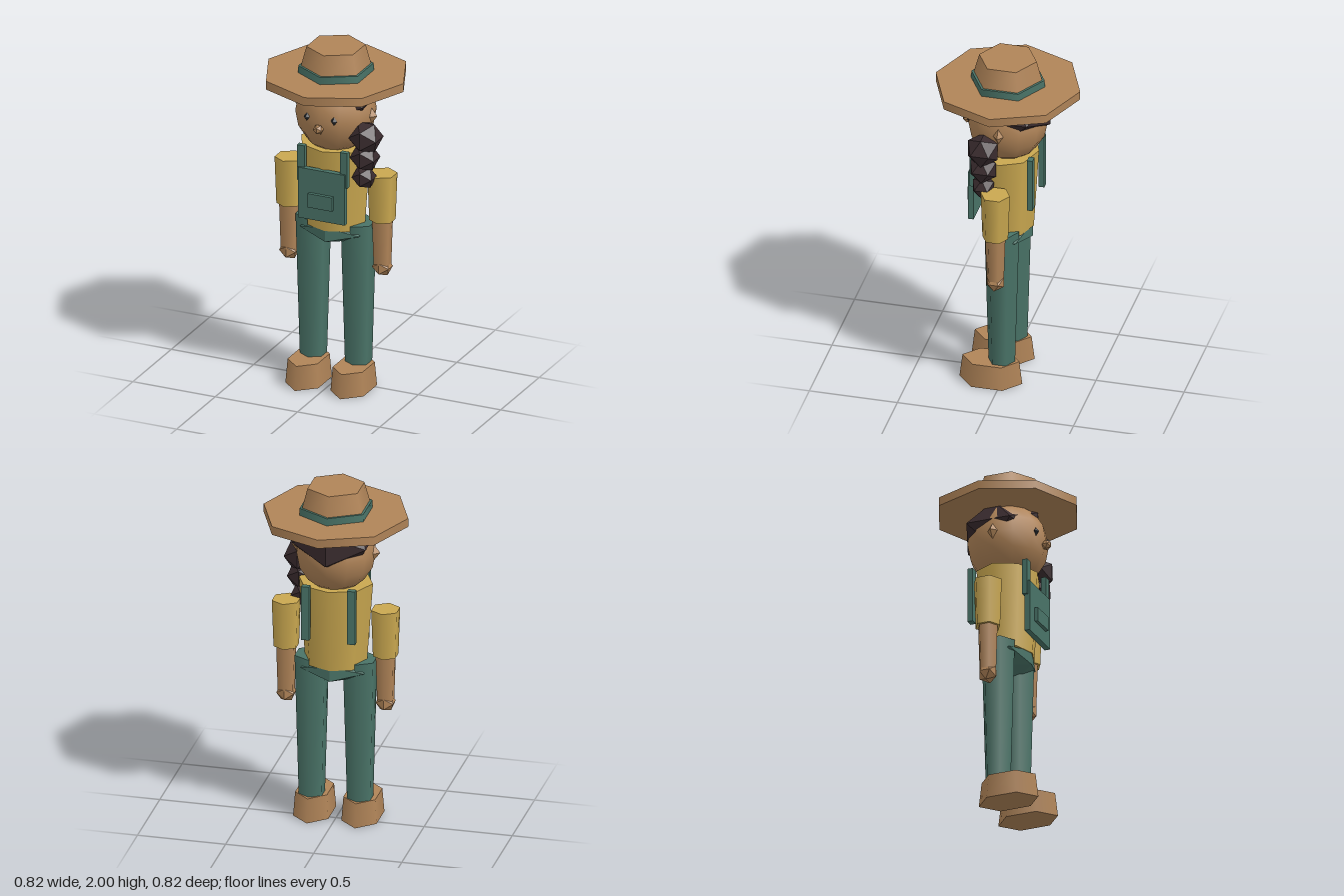
import * as THREE from 'three';

const mat = (name, color) => {
  const m = new THREE.MeshStandardMaterial({ color });
  m.name = name;
  return m;
};

export function createModel() {
  const tan = mat('tan', 0xb08458);
  const green = mat('denim green', 0x4a7468);
  const yellow = mat('shirt yellow', 0xcaa850);
  const dark = mat('hair brown', 0x392b2e);
  const black = mat('eye black', 0x22262c);

  const model = new THREE.Group();
  model.name = 'farmer';

  const add = (name, geo, material, pos, scale = [1, 1, 1]) => {
    const mesh = new THREE.Mesh(geo, material);
    mesh.name = name;
    mesh.position.set(...pos);
    mesh.scale.set(...scale);
    model.add(mesh);
    return mesh;
  };
  // Tapered prism between two heights
  const prism = (name, material, rTop, rBottom, y0, y1, sides, x = 0, z = 0, sx = 1, sz = 1) =>
    add(name, new THREE.CylinderGeometry(rTop, rBottom, y1 - y0, sides), material,
      [x, (y0 + y1) / 2, z], [sx, 1, sz]);
  // Box from its extents around a centre
  const box = (name, material, w, h, d, pos) =>
    add(name, new THREE.BoxGeometry(w, h, d), material, pos);
  // Faceted lump
  const lump = (name, material, pos, scale) =>
    add(name, new THREE.IcosahedronGeometry(1, 0), material, pos, scale);
  const gem = (name, material, pos, scale) =>
    add(name, new THREE.OctahedronGeometry(1, 0), material, pos, scale);

  // Hat
  prism('hatBrim', tan, 0.41, 0.41, 1.795, 1.845, 8);
  prism('hatCrown', tan, 0.163, 0.205, 1.845, 2.0, 6);
  prism('hatBand', green, 0.208, 0.21, 1.845, 1.887, 6);

  // Head, hair and face
  add('head', new THREE.SphereGeometry(1, 12, 8), tan, [0, 1.62, 0], [0.225, 0.24, 0.225]);
  lump('hair', dark, [0, 1.7, -0.03], [0.245, 0.17, 0.247]);
  lump('nose', tan, [0, 1.585, 0.23], [0.03, 0.03, 0.03]);

  // Braid over the left shoulder
  [[0.222, 1.525, 0.098], [0.217, 1.405, 0.085], [0.212, 1.285, 0.07]].forEach(([x, y, r]) =>
    lump('braid', dark, [x, y, 0.086], [r, r, r]));

  // Shirt, hips and bib
  prism('shirt', yellow, 0.21, 0.175, 0.945, 1.43, 8, 0, 0, 1, 0.84);
  lump('hips', green, [0, 0.92, 0], [0.212, 0.08, 0.166]);
  box('bib', green, 0.284, 0.3, 0.032, [0, 1.17, 0.175]);
  box('bibPocket', green, 0.146, 0.082, 0.022, [0, 1.14, 0.2]);

  for (const s of [-1, 1]) {
    gem('eye', black, [s * 0.082, 1.637, 0.202], [0.02, 0.025, 0.02]);
    gem('ear', tan, [s * 0.215, 1.62, 0], [0.036, 0.048, 0.031]);

    // Straps
    box('frontStrap', green, 0.045, 0.21, 0.03, [s * 0.13, 1.343, 0.165]);
    box('backStrap', green, 0.045, 0.32, 0.032, [s * 0.13, 1.29, -0.162]);

    // Arm
    const armX = s * 0.282;
    prism('sleeve', yellow, 0.083, 0.073, 1.01, 1.287, 6, armX);
    prism('forearm', tan, 0.058, 0.049, 0.735, 1.02, 6, armX);
    lump('hand', tan, [armX, 0.73, 0], [0.058, 0.058, 0.058]);

    // Leg and shoe
    const legX = s * 0.137;
    prism('trouserLeg', green, 0.099, 0.075, 0.13, 0.975, 6, legX);
    prism('shoe', tan, 0.104, 0.115, 0, 0.14, 6, legX, 0.062, 1, 1.55);
  }

  return model;
}
